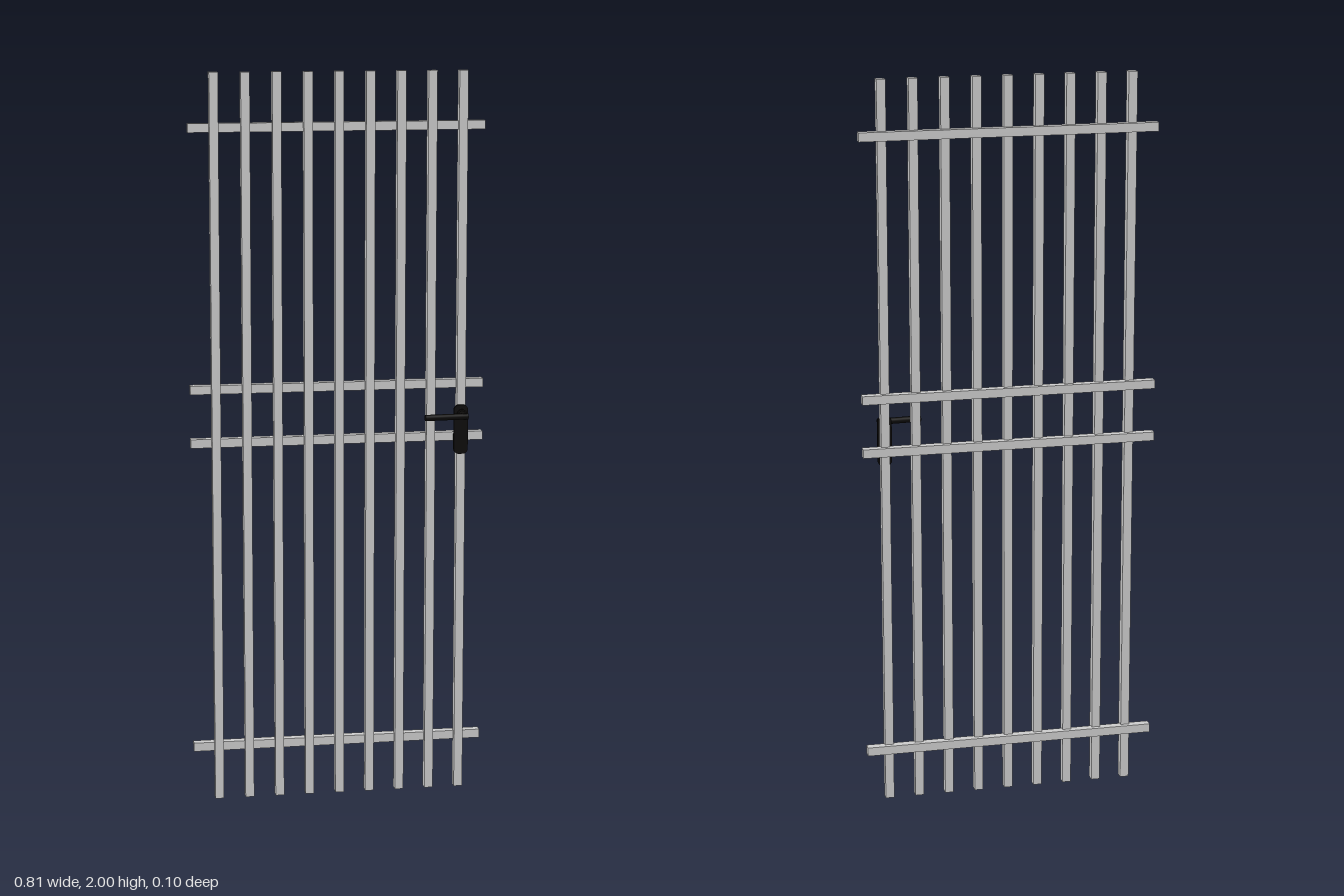
import * as THREE from 'three';

export function createModel() {
  const group = new THREE.Group();
  const grey = new THREE.MeshStandardMaterial({ color: 0xcccccc });
  const black = new THREE.MeshStandardMaterial({ color: 0x0c0b0a });
  const add = (name, geometry, material, x, y, z, parent = group) => {
    const mesh = new THREE.Mesh(geometry, material);
    mesh.name = name;
    mesh.position.set(x, y, z);
    parent.add(mesh);
    return mesh;
  };

  // Vertical bars
  const T = 0.024;
  const bar = new THREE.BoxGeometry(T, 2, T);
  for (let i = 0; i < 9; i++) add('verticalBar', bar, grey, 0.003 + (i - 4) * 0.0843, 1, -0.026);

  // Horizontal rails behind the bars
  const rail = new THREE.BoxGeometry(0.806, T, T);
  for (const y of [0.147, 1.002, 1.149, 1.853]) add('rail', rail, grey, 0, y, -0.039);

  // Lever handle on the last bar
  const handle = new THREE.Group();
  handle.name = 'handle';
  handle.position.set(0.34, 0, 0);
  group.add(handle);

  // Back plate with rounded corners
  const w = 0.0195, h = 0.068, r = 0.014;
  const plate = new THREE.Shape();
  plate.absarc(w - r, h - r, r, 0, Math.PI / 2);
  plate.absarc(r - w, h - r, r, Math.PI / 2, Math.PI);
  plate.absarc(r - w, r - h, r, Math.PI, Math.PI * 1.5);
  plate.absarc(w - r, r - h, r, Math.PI * 1.5, Math.PI * 2);
  plate.closePath();
  const plateGeometry = new THREE.ExtrudeGeometry(plate, { depth: 0.009, bevelEnabled: false, curveSegments: 8 });
  add('handlePlate', plateGeometry, black, -0.002, 1.024, -0.014, handle);

  // Collar and spindle pointing forwards
  const rod = (radius, length) => new THREE.CylinderGeometry(radius, radius, length, 20);
  const leverY = 1.067;
  add('collar', rod(0.0135, 0.006), black, 0, leverY, -0.003, handle).rotation.x = Math.PI / 2;
  add('spindle', rod(0.0095, 0.042), black, 0, leverY, 0.015, handle).rotation.x = Math.PI / 2;

  // Lever, tilted slightly forwards towards its free end
  const lever = add('lever', rod(0.0085, 0.12), black, -0.0505, leverY, 0.035, handle);
  lever.rotation.set(0, 0.06, Math.PI / 2, 'YXZ');

  return group;
}
